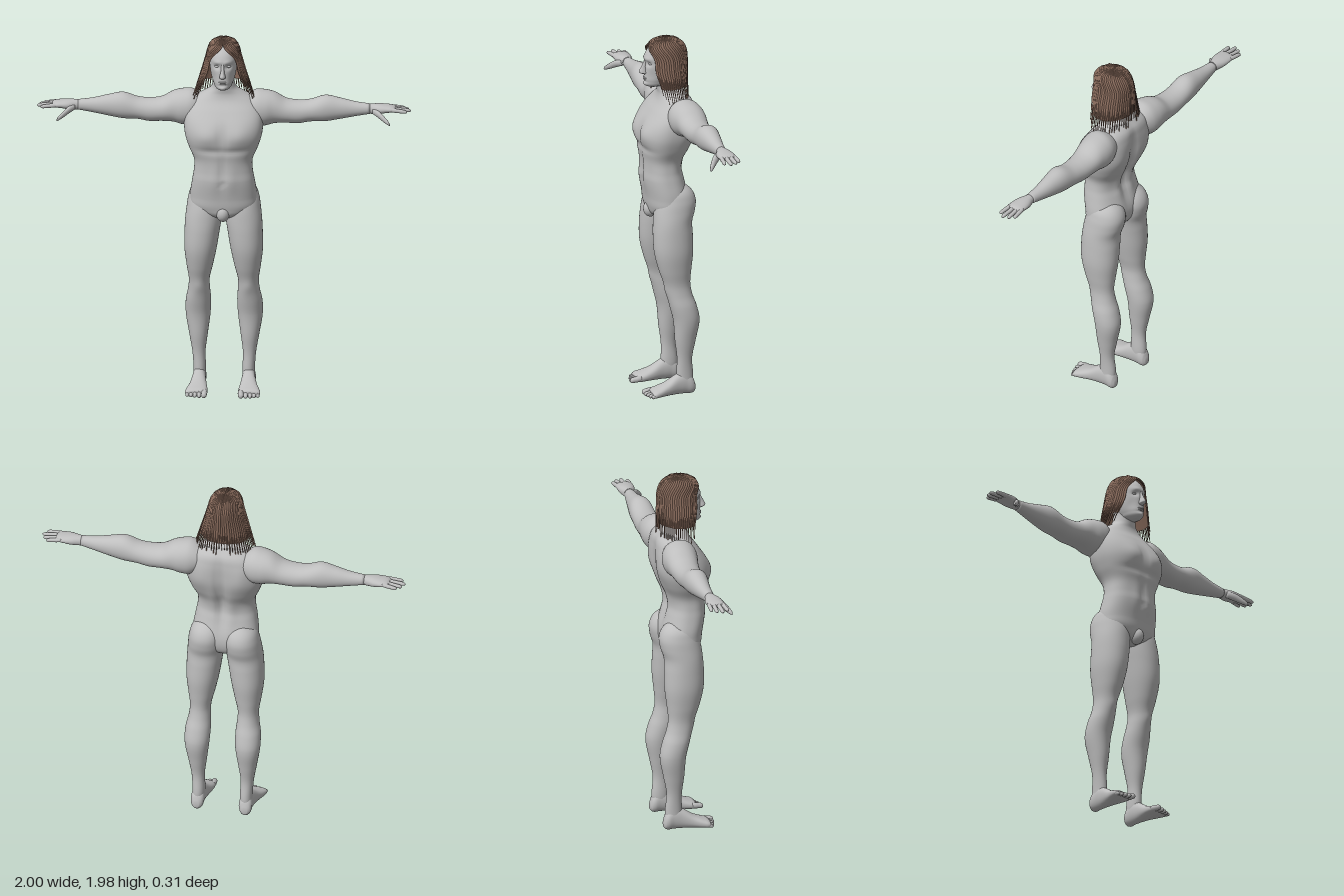
import * as THREE from 'three';

const skinMat = new THREE.MeshStandardMaterial({ color: 0xbebebe });
skinMat.name = 'grey skin';
const hairMat = new THREE.MeshStandardMaterial({ color: 0x86695a, side: THREE.DoubleSide });
hairMat.name = 'brown hair';

// Joins rings of points into a surface; closed rings are capped and face outwards.
function joinRings(rings, closed) {
  const n = rings[0].length, last = (rings.length - 1) * n;
  const pts = rings.flat(), idx = [];
  for (let i = 0; i < rings.length - 1; i++) {
    for (let j = 0; j < (closed ? n : n - 1); j++) {
      const a = i * n + j, b = i * n + (j + 1) % n;
      idx.push(a, b, a + n, b, b + n, a + n);
    }
  }
  if (closed) {
    for (const ring of [rings[0], rings[rings.length - 1]]) {
      pts.push(ring.reduce((s, p) => s.add(p), new THREE.Vector3()).divideScalar(n));
    }
    for (let j = 0; j < n; j++) {
      const k = (j + 1) % n;
      idx.push(last + n, k, j, last + n + 1, last + j, last + k);
    }
    let volume = 0;
    for (let i = 0; i < idx.length; i += 3) {
      volume += pts[idx[i]].dot(pts[idx[i + 1]].clone().cross(pts[idx[i + 2]]));
    }
    if (volume < 0) idx.reverse();
  }
  const geo = new THREE.BufferGeometry().setFromPoints(pts);
  geo.setIndex(idx);
  geo.computeVertexNormals();
  return geo;
}

function interpolator(rows) {
  const size = rows[0].length - 1;
  return new THREE.CubicInterpolant(rows.map(r => r[0]), new Float32Array(rows.flatMap(r => r.slice(1))), size);
}

// Rows are [position along axis, uMin, uMax, vMin, vMax, squareness].
const axes = {
  x: (t, u, v) => new THREE.Vector3(t, u, v),
  y: (t, u, v) => new THREE.Vector3(u, t, v),
  z: (t, u, v) => new THREE.Vector3(u, v, t),
};
function loft(axis, rows, { side = 1, n = 36, steps = 6, shape = null } = {}) {
  const full = rows.map(r => (r.length < 6 ? [...r, 2.1] : r));
  const f = interpolator(full), rings = [];
  const power = (c, p) => Math.sign(c) * Math.abs(c) ** (2 / p);
  for (let i = 0; i < full.length - 1; i++) {
    for (let s = 0; s < steps + (i === full.length - 2 ? 1 : 0); s++) {
      const t = THREE.MathUtils.lerp(full[i][0], full[i + 1][0], s / steps);
      const [u0, u1, v0, v1, p] = f.evaluate(t);
      rings.push(Array.from({ length: n }, (_, j) => {
        const a = j / n * Math.PI * 2;
        const q = axes[axis](t, (u0 + u1) / 2 + (u1 - u0) / 2 * power(Math.cos(a), p),
          (v0 + v1) / 2 + (v1 - v0) / 2 * power(Math.sin(a), p));
        if (shape) shape(q);
        q.x *= side;
        return q;
      }));
    }
  }
  return joinRings(rings, true);
}

// Soft muscle bumps and hollows: [x, y, width, height, depth, 1 front / -1 back].
const sculpt = bumps => p => {
  const z = p.z, x = Math.abs(p.x);
  for (const [bx, by, w, h, d, dir] of bumps) {
    const facing = THREE.MathUtils.clamp(z * dir / 0.08, 0, 1);
    p.z += dir * d * facing * Math.exp(-(((x - bx) / w) ** 2) - ((p.y - by) / h) ** 2);
  }
};
const symmetric = rows => rows.map(([y, w, back, front, p = 2.1]) => [y, -w, w, back, front, p]);

// Rounded finger or toe between two points, running along x or z.
function digit(axis, from, to, r, side) {
  const rows = [[0, 0.9], [0.3, 1], [0.6, 0.92], [0.85, 0.85], [0.95, 0.62], [1, 0.2]].map(([k, s]) => {
    const p = from.map((c, i) => c + (to[i] - c) * k);
    const [t, u, v] = axis === 'x' ? p : [p[2], p[0], p[1]];
    return [t, u - r * s, u + r * s, v - r * s, v + r * s];
  });
  return loft(axis, rows, { side, n: 12, steps: 3 });
}

export function createModel() {
  const model = new THREE.Group();
  model.name = 'longHairedFigure';
  const add = (name, geo, mat = skinMat, parent = model) => {
    const mesh = new THREE.Mesh(geo, mat);
    mesh.name = name;
    parent.add(mesh);
    return mesh;
  };
  const ellipsoid = (name, x, y, z, rx, ry, rz) => {
    const geo = new THREE.SphereGeometry(1, 20, 14).scale(rx, ry, rz).translate(x, y, z);
    return add(name, geo);
  };

  // Torso and neck
  add('torso', loft('y', symmetric([
    [0.975, 0.03, -0.06, 0.05], [1.0, 0.12, -0.09, 0.085], [1.04, 0.17, -0.11, 0.1, 2.3],
    [1.1, 0.178, -0.115, 0.108, 2.3], [1.2, 0.165, -0.09, 0.122, 2.4], [1.25, 0.157, -0.078, 0.12, 2.4],
    [1.31, 0.157, -0.088, 0.124, 2.4], [1.38, 0.186, -0.12, 0.136, 2.5], [1.45, 0.207, -0.142, 0.138, 2.6],
    [1.52, 0.21, -0.148, 0.12, 2.6], [1.58, 0.2, -0.148, 0.082, 2.5], [1.63, 0.165, -0.14, 0.045, 2.3],
    [1.665, 0.11, -0.115, 0.034], [1.69, 0.073, -0.095, 0.036], [1.72, 0.059, -0.082, 0.04], [1.78, 0.056, -0.075, 0.04],
  ]), { n: 72, shape: sculpt([
    [0.085, 1.46, 0.065, 0.055, 0.016, 1], [0, 1.46, 0.014, 0.07, -0.008, 1], [0.05, 1.375, 0.1, 0.018, -0.008, 1],
    [0, 1.27, 0.01, 0.1, -0.005, 1], [0.045, 1.22, 0.03, 0.08, 0.006, 1], [0, 1.19, 0.009, 0.011, -0.008, 1],
    [0, 1.38, 0.025, 0.2, -0.026, -1], [0.11, 1.5, 0.05, 0.08, 0.01, -1], [0.05, 1.28, 0.03, 0.1, 0.008, -1],
  ]) }));
  ellipsoid('pelvisFront', 0, 1.015, 0.075, 0.036, 0.045, 0.04);

  // Limbs
  for (const [side, word] of [[1, 'left'], [-1, 'right']]) {
    add(word + 'Arm', loft('x', [
      [0.1, 1.53, 1.63, -0.12, 0.0], [0.17, 1.475, 1.67, -0.15, 0.035], [0.22, 1.475, 1.668, -0.155, 0.035],
      [0.27, 1.487, 1.655, -0.15, 0.022], [0.33, 1.49, 1.622, -0.142, 0.012], [0.4, 1.488, 1.612, -0.136, 0.005],
      [0.46, 1.498, 1.617, -0.133, 0.0], [0.54, 1.5, 1.642, -0.128, -0.002], [0.62, 1.514, 1.628, -0.115, -0.014],
      [0.7, 1.53, 1.61, -0.1, -0.025], [0.78, 1.545, 1.6, -0.086, -0.032],
    ], { side }));
    const hand = new THREE.Group();
    hand.name = word + 'Hand';
    model.add(hand);
    add('palm', loft('x', [
      [0.76, 1.547, 1.598, -0.082, -0.036], [0.79, 1.545, 1.6, -0.088, -0.03], [0.83, 1.547, 1.601, -0.1, -0.014],
      [0.87, 1.555, 1.598, -0.104, -0.01], [0.905, 1.562, 1.592, -0.1, -0.012], [0.917, 1.57, 1.585, -0.09, -0.022],
    ], { side, n: 28, steps: 4 }), skinMat, hand);
    [[-0.093, -0.099, 0.965], [-0.07, -0.075, 0.988], [-0.046, -0.045, 1.0], [-0.023, -0.014, 0.98]].forEach(([z0, z1, tip], i) => {
      add('finger' + (i + 1), digit('x', [0.885, 1.578, z0], [tip, 1.569, z1], 0.0115, side), skinMat, hand);
    });
    add('thumb', loft('x', [
      [0.795, 1.55, 1.582, -0.055, -0.025], [0.825, 1.536, 1.575, -0.038, 0.003], [0.85, 1.522, 1.558, -0.012, 0.02],
      [0.872, 1.511, 1.538, 0.008, 0.033], [0.886, 1.506, 1.524, 0.022, 0.039], [0.892, 1.506, 1.513, 0.03, 0.037],
    ], { side, n: 14, steps: 4 }), skinMat, hand);

    // Leg with buttock, thigh, knee and calf
    add(word + 'Leg', loft('y', [
      [0.05, 0.1, 0.165, -0.118, -0.03], [0.1, 0.097, 0.164, -0.12, -0.028], [0.2, 0.1, 0.17, -0.112, -0.03],
      [0.3, 0.088, 0.187, -0.13, -0.018], [0.42, 0.073, 0.206, -0.15, -0.008], [0.5, 0.07, 0.204, -0.134, 0.012],
      [0.56, 0.074, 0.192, -0.113, 0.027], [0.62, 0.076, 0.187, -0.102, 0.04], [0.7, 0.058, 0.198, -0.108, 0.068],
      [0.8, 0.037, 0.21, -0.119, 0.092], [0.9, 0.021, 0.209, -0.119, 0.096], [0.97, 0.01, 0.205, -0.118, 0.092],
      [1.03, 0.003, 0.198, -0.136, 0.085], [1.09, 0.004, 0.188, -0.141, 0.07], [1.14, 0.02, 0.168, -0.118, 0.05],
      [1.18, 0.06, 0.12, -0.07, 0.0],
    ], { side, n: 40, shape: sculpt([[0.13, 0.59, 0.03, 0.035, 0.012, 1]]) }));

    const foot = new THREE.Group();
    foot.name = word + 'Foot';
    model.add(foot);
    add('sole', loft('z', [
      [-0.13, 0.118, 0.148, 0.015, 0.05], [-0.118, 0.102, 0.163, 0.002, 0.085], [-0.075, 0.097, 0.166, 0, 0.125],
      [-0.03, 0.096, 0.169, 0, 0.112, 2.2], [0.03, 0.088, 0.182, 0, 0.074, 2.3], [0.08, 0.082, 0.197, 0, 0.053, 2.4],
      [0.11, 0.085, 0.2, 0.001, 0.042, 2.4], [0.12, 0.092, 0.193, 0.006, 0.034],
    ], { side, steps: 4 }), skinMat, foot);
    [[0.097, 0.155, 0.0165], [0.123, 0.153, 0.0125], [0.146, 0.147, 0.012], [0.167, 0.14, 0.0115], [0.187, 0.131, 0.011]].forEach(([x, tip, r], i) => {
      add('toe' + (i + 1), digit('z', [x, r + 0.009, 0.095], [x + 0.002, r + 0.001, tip], r, side), skinMat, foot);
    });
  }

  // Head and face
  add('head', loft('y', symmetric([
    [1.705, 0.02, 0.03, 0.085], [1.715, 0.038, -0.02, 0.105], [1.74, 0.052, -0.055, 0.112], [1.77, 0.063, -0.08, 0.11],
    [1.8, 0.069, -0.09, 0.109], [1.84, 0.073, -0.1, 0.109], [1.88, 0.073, -0.1, 0.106], [1.92, 0.062, -0.088, 0.082],
    [1.945, 0.042, -0.06, 0.05], [1.958, 0.012, -0.025, 0.005],
  ]), { n: 72, shape: sculpt([
    [0.03, 1.84, 0.017, 0.014, -0.013, 1], [0.05, 1.775, 0.016, 0.03, -0.006, 1], [0.028, 1.866, 0.025, 0.01, 0.005, 1],
    [0, 1.738, 0.025, 0.007, -0.005, 1], [0, 1.72, 0.018, 0.012, 0.005, 1],
  ]) }));
  add('nose', loft('y', symmetric([
    [1.777, 0.01, 0.09, 0.115], [1.784, 0.017, 0.09, 0.134], [1.792, 0.016, 0.09, 0.14], [1.81, 0.011, 0.09, 0.132],
    [1.84, 0.008, 0.09, 0.117], [1.865, 0.007, 0.09, 0.108],
  ]), { n: 24, steps: 3 }));
  ellipsoid('upperLip', 0, 1.757, 0.106, 0.022, 0.0045, 0.01);
  ellipsoid('lowerLip', 0, 1.748, 0.105, 0.019, 0.005, 0.01);
  for (const s of [1, -1]) {
    ellipsoid(s > 0 ? 'leftEye' : 'rightEye', s * 0.03, 1.841, 0.083, 0.014, 0.008, 0.012);
  }

  // Hair: rows are [t, height, half width, front depth, back depth, start angle of the face opening]
  const hairAt = interpolator([
    [0, 1.97, 0.001, 0.001, 0.001, 0], [0.08, 1.965, 0.036, 0.042, 0.042, 0], [0.18, 1.943, 0.066, 0.085, 0.082, 0.05],
    [0.28, 1.915, 0.081, 0.11, 0.102, 0.4], [0.38, 1.88, 0.09, 0.117, 0.112, 0.75], [0.58, 1.8, 0.113, 0.117, 0.114, 0.82],
    [0.79, 1.72, 0.138, 0.108, 0.113, 0.95], [1, 1.63, 0.165, 0.1, 0.113, 1.05],
  ]);
  const hairPoint = (s, t, k, push) => {
    const [y, w, front, back, open] = hairAt.evaluate(t);
    const start = Math.max(0, open);
    const a = start + THREE.MathUtils.clamp(k, 0, 1) * (Math.PI - start);
    const c = Math.cos(a), lift = push * Math.min(1, t * 8);
    return new THREE.Vector3(s * (w + lift) * Math.sin(a), y + push * (1 - t), -0.01 + ((c > 0 ? front : back) + lift) * c);
  };
  const lock = (s, mid, half, end, push, cols, taper) => {
    const rings = [];
    for (let i = 0; i <= 22; i++) {
      const t = end * i / 22;
      const w = half * (taper ? 1 - 0.8 * THREE.MathUtils.smoothstep(i / 22, 0.5, 1) : 1);
      rings.push(Array.from({ length: cols + 1 }, (_, j) => {
        const v = j / cols * 2 - 1;
        return hairPoint(s, t, mid - s * v * w, push + (taper ? 0.004 * (1 - v * v) : 0));
      }));
    }
    return joinRings(rings, false);
  };
  let seed = 7;
  const random = () => (seed = (seed * 16807) % 2147483647) / 2147483647;
  const hair = new THREE.Group();
  hair.name = 'hair';
  model.add(hair);
  const count = 22;
  for (const s of [1, -1]) {
    add('underHair', lock(s, 0.5, 0.5, 0.8, -0.002, 28, false), hairMat, hair);
    for (let m = 0; m < count; m++) {
      add('hairLock', lock(s, (m + 0.5) / count, 0.72 / count, 0.87 + 0.13 * random(), 0.003 * random(), 4, true), hairMat, hair);
    }
  }
  return model;
}
